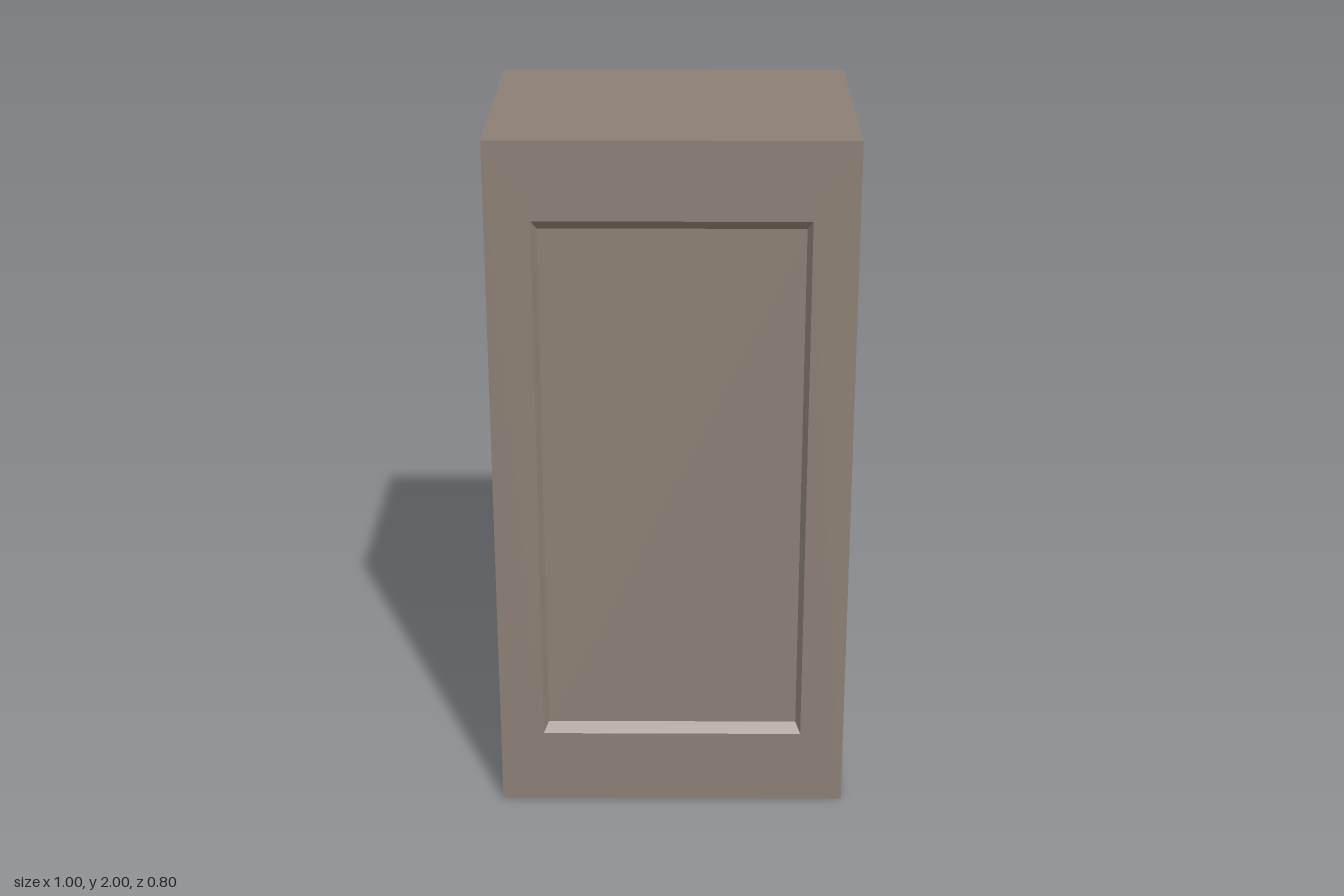
import * as THREE from 'three';

const material = new THREE.MeshStandardMaterial({ color: 0x8c8075, flatShading: true });

// Rectangular cross-section, counter-clockwise seen from the front
function ring(halfWidth, halfHeight, z) {
  return [[-1, -1], [1, -1], [1, 1], [-1, 1]].map(([sx, sy]) => [sx * halfWidth, 1 + sy * halfHeight, z]);
}

// Flat-shaded mesh from four-cornered faces
function quadMesh(name, quads) {
  const positions = quads.flatMap(([a, b, c, d]) => [a, b, c, a, c, d]).flat();
  const geometry = new THREE.BufferGeometry();
  geometry.setAttribute('position', new THREE.Float32BufferAttribute(positions, 3));
  geometry.computeVertexNormals();
  const mesh = new THREE.Mesh(geometry, material);
  mesh.name = name;
  return mesh;
}

// Four faces joining one ring to the next
function band(from, to) {
  return from.map((p, i) => {
    const j = (i + 1) % 4;
    return [p, from[j], to[j], to[i]];
  });
}

export function createModel() {
  const group = new THREE.Group();
  group.name = 'cabinet';

  const back = ring(0.5, 1, -0.4);
  const front = ring(0.5, 1, 0.4);
  const recessRim = ring(0.375, 0.78, 0.4);
  const recessFloor = ring(0.361, 0.753, 0.375);

  // Closed carcass: sides, top, bottom and back
  group.add(quadMesh('carcass', [...band(back, front), [...back].reverse()]));
  // Flat border around the recessed panel
  group.add(quadMesh('frontFrame', band(front, recessRim)));
  // Sloped edges leading into the recess
  group.add(quadMesh('recessBevel', band(recessRim, recessFloor)));
  // Sunken door panel
  group.add(quadMesh('frontPanel', [recessFloor]));

  return group;
}
